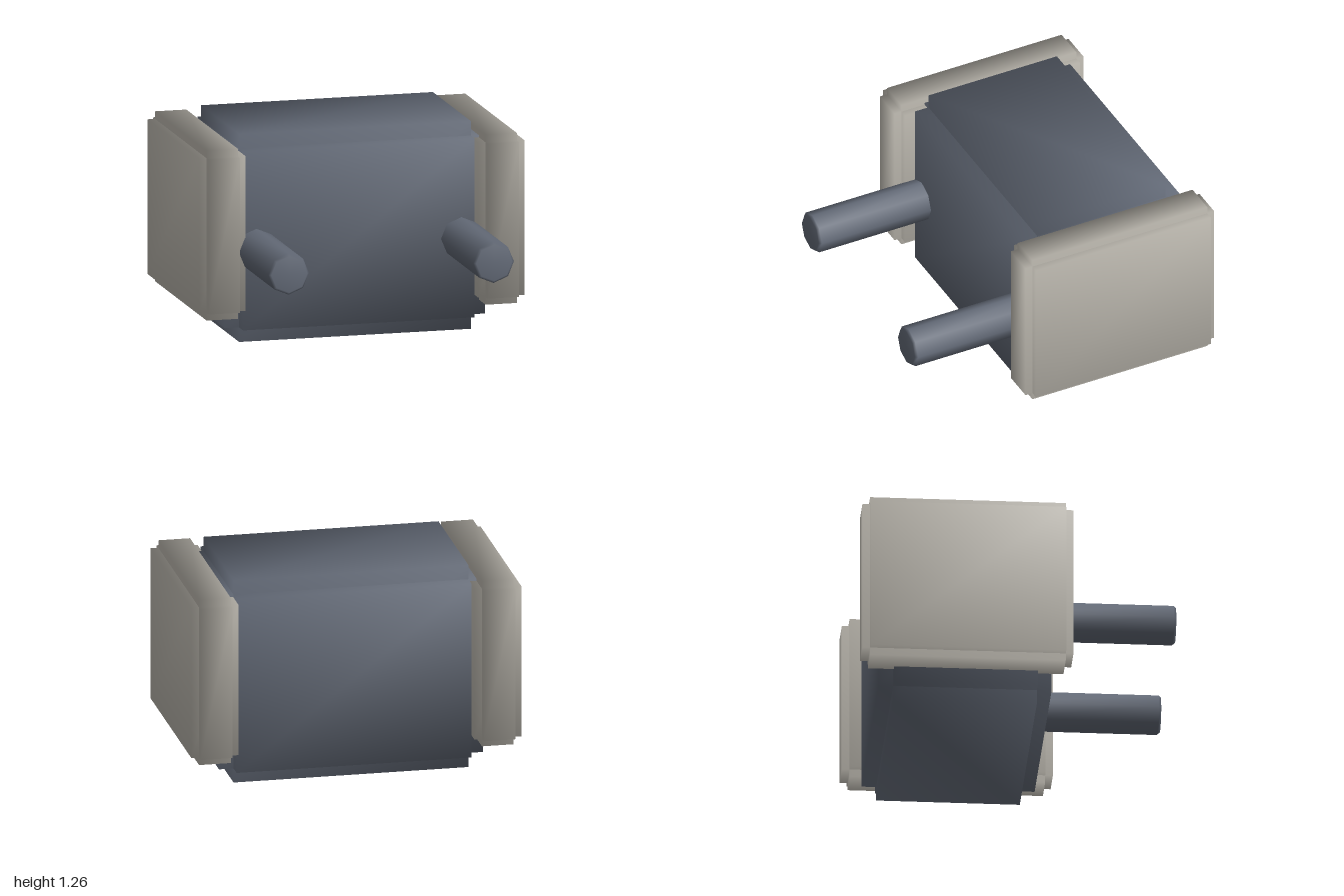
import * as THREE from 'three';
import { mergeVertices, mergeGeometries } from 'three/addons/utils/BufferGeometryUtils.js';

// Weld shared corners so the normals run smoothly round every edge
function smooth(geometry) {
  geometry.deleteAttribute('normal');
  geometry.deleteAttribute('uv');
  const welded = mergeVertices(geometry, 1e-4);
  welded.computeVertexNormals();
  return welded;
}

// Block with a square notch along all twelve edges: three crossing boxes
function notchedBlock(width, height, depth, notch) {
  const boxes = [[0, 1, 1], [1, 0, 1], [1, 1, 0]].map(([x, y, z]) => smooth(
    new THREE.BoxGeometry(width - 2 * notch * x, height - 2 * notch * y, depth - 2 * notch * z)
  ));
  return mergeGeometries(boxes);
}

export function createModel() {
  const hull = new THREE.MeshStandardMaterial({ color: 0x636a77 });
  hull.name = 'slate grey';
  const armour = new THREE.MeshStandardMaterial({ color: 0xbab6ad });
  armour.name = 'warm light grey';

  const model = new THREE.Group();
  model.name = 'notchedBodyWithRods';
  const add = (name, geometry, material, x, y, z) => {
    const mesh = new THREE.Mesh(geometry, material);
    mesh.name = name;
    mesh.position.set(x, y, z);
    model.add(mesh);
  };

  // Central body
  add('body', notchedBlock(1.6, 1.26, 1.03, 0.088), hull, 0, 0.63, -0.315);

  // Side panels and the forward rods
  const panel = notchedBlock(0.285, 1.03, 1.255, 0.046);
  const r = 0.125, bevel = 0.015, back = 0, tip = 0.94;
  const profile = [[0, back], [r, back], [r, tip - bevel], [r - bevel, tip], [0, tip]]
    .map(([x, y]) => new THREE.Vector2(x, y));
  const rod = smooth(new THREE.LatheGeometry(profile, 8).rotateX(Math.PI / 2));
  for (const [side, s] of [['left', 1], ['right', -1]]) {
    add(side + 'Panel', panel, armour, s * 0.8575, 0.69, -0.315);
    add(side + 'Rod', rod, hull, s * 0.63, 0.575, 0);
  }
  return model;
}
